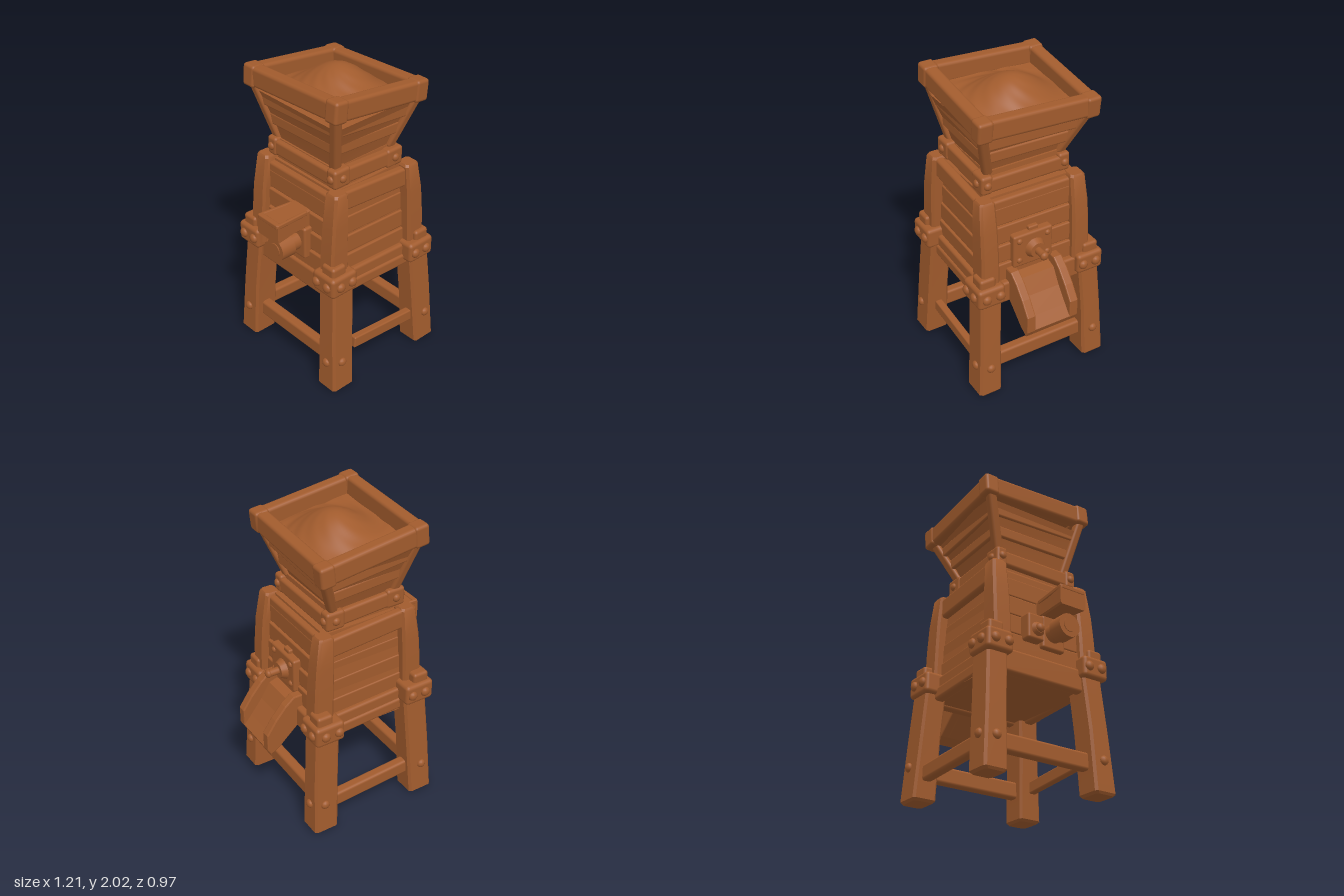
import * as THREE from 'three';
import { toCreasedNormals } from 'three/addons/utils/BufferGeometryUtils.js';
import { RoundedBoxGeometry } from 'three/addons/geometries/RoundedBoxGeometry.js';

const V = (p) => new THREE.Vector3(...p);

export function createModel() {
  const model = new THREE.Group();
  const wood = new THREE.MeshStandardMaterial({ color: 0xa15b2d });
  wood.name = 'brown wood';
  wood.side = THREE.DoubleSide;

  const add = (name, geometry) => {
    const mesh = new THREE.Mesh(geometry, wood);
    mesh.name = name;
    model.add(mesh);
    return mesh;
  };
  // Rounded box given by its two extreme corners
  const block = (name, a, b, r = 0.015) => {
    const mesh = add(name, new RoundedBoxGeometry(b[0] - a[0], b[1] - a[1], b[2] - a[2], 2, r));
    mesh.position.copy(V(a).add(V(b)).multiplyScalar(0.5));
    return mesh;
  };
  // Rounded timber from a to b
  const beam = (name, a, b, w, h, r = 0.018) => {
    const A = V(a), B = V(b), dir = B.clone().sub(A);
    const mesh = add(name, new RoundedBoxGeometry(w, h, dir.length(), 2, Math.min(r, w * 0.45, h * 0.45)));
    if (Math.abs(dir.y) > dir.length() * 0.75) mesh.up.set(0, 0, 1);
    mesh.position.copy(A).add(B).multiplyScalar(0.5);
    mesh.lookAt(B);
    return mesh;
  };
  // Loft through rectangular levels [y, x0, x1, z0, z1] with chamfered corners
  const loft = (name, levels, c = 0.015) => {
    const pos = [], idx = [], n = 8;
    for (const [y, x0, x1, z0, z1] of levels) {
      pos.push(x0 + c, y, z1, x1 - c, y, z1, x1, y, z1 - c, x1, y, z0 + c,
        x1 - c, y, z0, x0 + c, y, z0, x0, y, z0 + c, x0, y, z1 - c);
    }
    const last = (levels.length - 1) * n;
    for (let k = 0; k < last; k += n) {
      for (let i = 0; i < n; i++) {
        const j = (i + 1) % n;
        idx.push(k + i, k + j, k + n + j, k + i, k + n + j, k + n + i);
      }
    }
    for (let i = 1; i < n - 1; i++) idx.push(0, i + 1, i, last, last + i, last + i + 1);
    const g = new THREE.BufferGeometry();
    g.setAttribute('position', new THREE.Float32BufferAttribute(pos, 3));
    g.setIndex(idx);
    return add(name, toCreasedNormals(g, 0.6));
  };
  // Domed bolt head facing along an axis
  const bolt = (p, r, axis) => {
    const mesh = add('bolt', new THREE.SphereGeometry(r, 12, 8));
    mesh.position.copy(V(p));
    mesh.scale[axis] = 0.7;
  };
  // Round part lying along x
  const rod = (name, x0, x1, y, z, r0, r1 = r0) => {
    const mesh = add(name, new THREE.CylinderGeometry(r1, r0, Math.abs(x1 - x0), 20));
    mesh.rotation.z = x1 > x0 ? -Math.PI / 2 : Math.PI / 2;
    mesh.position.set((x0 + x1) / 2, y, z);
  };

  // Legs, curved upper posts and bolted joint brackets at each corner
  for (const sx of [-1, 1]) for (const sz of [-1, 1]) {
    const span = (a, b, s) => (s > 0 ? [a, b] : [-b, -a]);
    const level = (y, xi, xo, zi, zo) => [y, ...span(xi, xo, sx), ...span(zi, zo, sz)];
    const dz = sz > 0 ? 0.03 : 0;
    const dx = sx < 0 ? 0.02 : 0;
    loft('leg', [level(0, 0.30, 0.445, 0.33, 0.46), level(0.015, 0.285, 0.455, 0.315, 0.475),
      level(0.4, 0.265, 0.435, 0.305, 0.45), level(0.8, 0.24, 0.405, 0.28, 0.425)]);
    loft('upper post', [level(0.78, 0.25 + dx, 0.385 + dx, 0.25 + dz, 0.375 + dz),
      level(1.0, 0.245 + dx, 0.378 + dx, 0.25 + dz, 0.372 + dz),
      level(1.18, 0.238 + dx, 0.363 + dx, 0.25 + dz, 0.368 + dz),
      level(1.36 + dx, 0.23 + dx, 0.335 + dx, 0.25 + dz, 0.355 + dz),
      level(1.375 + dx, 0.24 + dx, 0.325 + dx, 0.26 + dz, 0.345 + dz)]);
    const bx = span(0.22 + dx, 0.425 + dx, sx), bz = span(0.265, 0.455, sz);
    const y0 = sx < 0 ? 0.735 : 0.68;
    block('joint bracket', [bx[0], y0, bz[0]], [bx[1], y0 + 0.14, bz[1]], 0.025);
    const cx = span(0.29 + dx, 0.40 + dx, sx), cz = span(0.32, 0.43, sz);
    block('bracket cap', [cx[0], y0 + 0.1, cz[0]], [cx[1], y0 + 0.2, cz[1]], 0.02);
    for (const t of [0.265, 0.36]) {
      bolt([sx * (t + dx), y0 + 0.07, sz * 0.455], 0.032, 'z');
      bolt([sx * (0.425 + dx), y0 + 0.07, sz * (t + 0.04)], 0.032, 'x');
    }
    bolt([sx * 0.375, 0.22, sz * 0.463], 0.03, 'z');
    bolt([sx * 0.446, 0.21, sz * 0.39], 0.03, 'x');
  }

  // Leg rails, with a short loose plank at the front
  beam('back rail', [-0.34, 0.21, -0.39], [0.34, 0.17, -0.39], 0.07, 0.1);
  for (const s of [-1, 1]) beam('side rail', [s * 0.36, 0.205, -0.36], [s * 0.36, 0.205, 0.36], 0.07, 0.11);
  beam('front plank', [-0.235, 0.27, 0.405], [0.32, 0.22, 0.405], 0.05, 0.08, 0.01);

  // Cabinet core with recessed plank walls
  loft('cabinet core', [[0.66, -0.36, 0.34, -0.36, 0.36], [0.8, -0.345, 0.325, -0.33, 0.34],
    [1.37, -0.29, 0.27, -0.29, 0.31]]);
  for (let i = 0; i < 4; i++) {
    const y = 0.85 + i * 0.13, t = i * 0.011;
    for (const s of [-1, 1]) {
      beam('wall plank', [-0.28, y + 0.01, 0.01 + s * (0.325 - t)], [0.26, y - 0.01, 0.01 + s * (0.325 - t)], 0.03, 0.125, 0.01);
      beam('side plank', [-0.01 + s * (0.335 - t), y, -0.28], [-0.01 + s * (0.335 - t), y, 0.29], 0.04, 0.125, 0.01);
    }
  }
  for (const z of [-0.315, 0.335]) {
    beam('header', [-0.29, 1.325, z], [0.26, 1.285, z], 0.06, 0.13);
    beam('sill', [-0.36, 0.775, z * 1.03], [0.33, 0.745, z * 1.03], 0.07, 0.1);
    beam('skirt board', [-0.36, 0.715, z * 1.07], [0.34, 0.68, z * 1.07], 0.07, 0.08);
  }
  for (const s of [-1, 1]) {
    beam('side header', [s * 0.29 - 0.01, 1.29, -0.29], [s * 0.29 - 0.01, 1.29, 0.31], 0.06, 0.13);
    beam('side sill', [s * 0.35, 0.72, -0.33], [s * 0.35, 0.72, 0.35], 0.07, 0.15);
  }

  // Collar under the hopper
  loft('collar core', [[1.34, -0.27, 0.22, -0.26, 0.29], [1.51, -0.27, 0.21, -0.25, 0.27]]);
  for (const z of [-0.255, 0.285]) {
    beam('collar beam', [-0.3, 1.46, z], [0.245, 1.43, z], 0.065, 0.105);
    for (const x of [-0.245, 0.185]) {
      const y = 1.445 - x * 0.055;
      block('collar bracket', [x - 0.065, y - 0.062, z - 0.04], [x + 0.065, y + 0.062, z + 0.04], 0.02);
      bolt([x, y, z + Math.sign(z) * 0.04], 0.026, 'z');
      bolt([x + Math.sign(x) * 0.065, y, z], 0.026, 'x');
    }
  }
  for (const x of [-0.27, 0.215]) beam('collar side beam', [x, 1.44 - x * 0.055, -0.27], [x, 1.44 - x * 0.055, 0.3], 0.065, 0.1);

  // Tilted hopper: recessed walls, corner ribs, plank edges and rim
  const tilt = (x, z) => -0.12 * x + 0.05 * z;
  loft('hopper wall', [[1.46, -0.25, 0.185, -0.245, 0.255], [1.62, -0.275, 0.225, -0.29, 0.29],
    [1.82, -0.335, 0.315, -0.375, 0.365]]);
  const low = (sx, sz) => [-0.03 + sx * 0.215, 1.49, 0.005 + sz * 0.25];
  const high = (sx, sz) => [-0.01 + sx * 0.325, 1.86 + tilt(sx * 0.33, sz * 0.37), -0.005 + sz * 0.365];
  const corners = [[-1, 1], [1, 1], [1, -1], [-1, -1]];
  corners.forEach((c, i) => {
    const d = corners[(i + 1) % 4];
    beam('hopper corner rib', low(...c), high(...c), 0.06, 0.06);
    for (const t of [0.38, 0.7]) {
      const at = (k) => V(low(...k)).lerp(V(high(...k)), t).toArray();
      beam('hopper plank edge', at(c), at(d), 0.03, 0.075, 0.012);
    }
    const rim = (k) => [-0.005 + k[0] * 0.32, 1.885 + tilt(k[0] * 0.33, k[1] * 0.37), -0.01 + k[1] * 0.365];
    beam('hopper rim', rim(c), rim(d), 0.085, 0.13, 0.022);
    const p = rim(c);
    const cap = block('rim corner', [p[0] - 0.05, p[1] - 0.07, p[2] - 0.05], [p[0] + 0.05, p[1] + 0.07, p[2] + 0.05], 0.02);
    cap.rotation.z = -0.1;
  });

  // Heaped grain with soft ripples
  const grain = new THREE.PlaneGeometry(0.6, 0.68, 40, 40).rotateX(-Math.PI / 2);
  const gp = grain.attributes.position;
  for (let i = 0; i < gp.count; i++) {
    const x = gp.getX(i), z = gp.getZ(i);
    const d = Math.min(1, Math.hypot((x - 0.03) / 0.34, z / 0.38));
    const ripple = 0.003 * Math.sin(9 * Math.atan2(z, x) + 20 * d) * d;
    gp.setY(i, 1.845 + tilt(x, z) * (0.3 + 0.7 * d) + 0.152 * (0.5 + 0.5 * Math.cos(Math.PI * d)) + ripple);
  }
  grain.computeVertexNormals();
  add('heaped grain', grain).position.set(-0.005, 0, -0.01);

  // Discharge chute: curved floor between two cheeks
  const extrudeZ = (name, pts, z0, z1) => {
    const shape = new THREE.Shape(pts.map((p) => new THREE.Vector2(...p)));
    const g = new THREE.ExtrudeGeometry(shape, { depth: z1 - z0 - 0.016, bevelSize: 0.008, bevelThickness: 0.008, bevelSegments: 2 });
    add(name, g).position.z = z0 + 0.008;
  };
  const cheek = [[0.34, 0.7], [0.42, 0.63], [0.52, 0.54], [0.575, 0.508], [0.592, 0.54], [0.592, 0.65], [0.53, 0.74], [0.46, 0.82], [0.4, 0.868], [0.34, 0.868]];
  extrudeZ('chute cheek', cheek, -0.15, -0.09);
  extrudeZ('chute cheek', cheek, 0.16, 0.22);
  extrudeZ('chute floor', [[0.34, 0.7], [0.42, 0.63], [0.52, 0.54], [0.575, 0.508], [0.59, 0.54], [0.54, 0.6], [0.46, 0.7], [0.4, 0.8], [0.34, 0.82]], -0.1, 0.17);

  // Axle with bolted bearing plate above the chute
  block('bearing plate', [0.3, 0.87, -0.1], [0.372, 1.1, 0.18]);
  block('bearing plate top', [0.3, 1.08, -0.01], [0.35, 1.125, 0.06], 0.01);
  for (const z of [-0.06, 0.14]) for (const y of [0.92, 1.06]) bolt([0.372, y, z], 0.02, 'x');
  rod('bearing boss', 0.36, 0.41, 0.98, 0.03, 0.075, 0.05);
  rod('axle', 0.38, 0.48, 0.98, 0.03, 0.024);
  bolt([0.48, 0.98, 0.03], 0.028, 'x');

  // Flared feed spout, round hub and knob on the other side
  const spout = loft('feed spout', [[0, -0.06, 0.06, -0.075, 0.075], [0.13, -0.058, 0.058, -0.08, 0.08], [0.27, -0.065, 0.065, -0.096, 0.096]], 0.01);
  spout.rotation.z = Math.PI / 2;
  spout.position.set(-0.335, 1.13, 0.055);
  for (const z of [-0.03, 0.14]) beam('spout edge', [-0.36, 1.175, 0.055 + (z - 0.055) * 0.8], [-0.605, 1.185, z], 0.022, 0.03, 0.008);
  beam('spout lip', [-0.59, 1.185, -0.035], [-0.59, 1.185, 0.145], 0.035, 0.03, 0.008);
  block('hub plate', [-0.4, 0.86, -0.02], [-0.3, 1.08, 0.15]);
  rod('hub', -0.35, -0.47, 0.965, 0.06, 0.06);
  rod('hub rim', -0.46, -0.56, 0.965, 0.06, 0.077);
  rod('hub face', -0.55, -0.565, 0.965, 0.06, 0.045);
  block('knob plate', [-0.43, 0.88, -0.15], [-0.3, 1.05, -0.03]);
  rod('knob base', -0.42, -0.45, 0.95, -0.08, 0.055, 0.03);
  bolt([-0.455, 0.95, -0.08], 0.028, 'x');

  return model;
}
